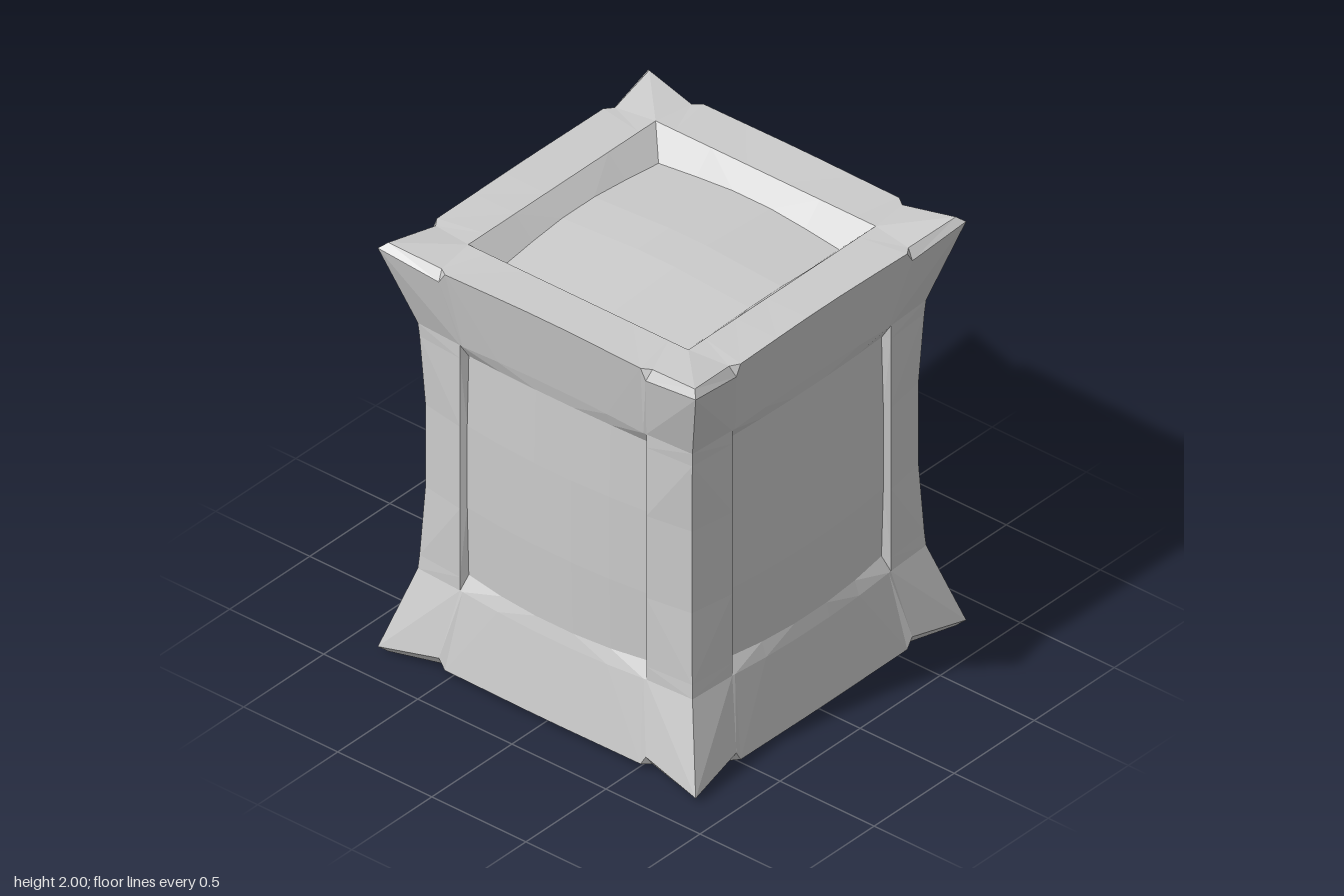
import * as THREE from 'three';

// Level tables run from the outer edge (index 0) to the middle; each is mirrored about the centre.
const RIM_X = [0.845, 0.55, 0.52, 0.29, 0.1];       // side columns along the upper rim
const RIM_H = [0.975, 0.92, 0.968, 0.972, 0.975];   // rim height above the centre
const RIM_D = [0.845, 0.81, 0.808, 0.806, 0.805];   // rim distance from the axis
const COLUMN = [0, 0.495, 0.48, 0.29, 0.1];         // post edge, panel edge, panel columns
const CORNER = [0.845, 0.73, 0.725, 0.708];         // flare of the corner edge per row
const ROW = [0.975, 0.6, 0.535, 0.2];               // rim, rail edge, panel edge, panel row
const BOW = [0, 0, 0, 0.012, 0.018];                // outward bow of the rails
const FRAME = [0, 0.742, 0.744, 0.748, 0.75];       // frame depth

const LID_RIM_X = [0.815, 0.56, 0.52, 0.29, 0.1];
const LID_RIM_D = [0.815, 0.78, 0.808, 0.806, 0.805];
const LID_RIM_H = [1.0, 0.965, 0.968, 0.972, 0.975];
const LID_COLUMN = [0, 0.585, 0.48, 0.29, 0.1];

// Mirrored grid index: level from the nearer edge, and sign of the half
const fold = (i, n) => (i < n / 2 ? [i, -1] : [n - 1 - i, 1]);

// Flared side wall with a raised frame and a cushioned recessed panel, facing +z
function sidePoint(i, j) {
  const [a, sx] = fold(i, 10);
  const [b, sy] = fold(j, 8);
  if (b === 0) return new THREE.Vector3(sx * RIM_X[a], sy * RIM_H[a], RIM_D[a]);
  const x = a === 0 ? CORNER[b] : COLUMN[a];
  const h = ROW[b] + (b < 3 ? BOW[a] : 0);
  let depth = a === 0 ? CORNER[b] : FRAME[a];
  if (a >= 2 && b >= 2) depth = [0.705, 0.725, 0.735][a - 2] + (b - 2) * 0.01;
  return new THREE.Vector3(sx * x, sy * h, depth);
}

// Square end with a deep recessed, cushioned panel, facing +z
function lidPoint(i, j) {
  const [a, sx] = fold(i, 10);
  const [b, sy] = fold(j, 10);
  const coord = (p, q) => {
    if (p === 0) return LID_RIM_D[q];
    if (q === 0) return LID_RIM_X[p];
    return LID_COLUMN[p] + (p === 2 ? BOW[q] : 0);
  };
  let height = 0.972;
  if (a === 0 || b === 0) height = LID_RIM_H[Math.max(a, b)];
  else if (a >= 2 && b >= 2) height = 0.865 + 0.012 * (a + b - 4);
  return new THREE.Vector3(sx * coord(a, b), sy * coord(b, a), height);
}

// Worn chamfers between the side rim and the lid rim; closes to nothing between the corners
function chamferPoint(i, j) {
  if (j === 0) return sidePoint(i, 7);
  const p = lidPoint(i, 9);
  return new THREE.Vector3(p.x, p.z, p.y);
}

// Grid surface; diagonals point at the centre so recess corners are mitred
function gridSurface(point, cols, rows) {
  const positions = [];
  const triangle = (p, q, r) => {
    const area = q.clone().sub(p).cross(r.clone().sub(p)).length();
    if (area > 1e-7) for (const v of [p, q, r]) positions.push(v.x, v.y, v.z);
  };
  for (let j = 0; j < rows - 1; j++) {
    for (let i = 0; i < cols - 1; i++) {
      const a = point(i, j), b = point(i + 1, j);
      const c = point(i + 1, j + 1), d = point(i, j + 1);
      if ((i < cols / 2 - 1) === (j < rows / 2 - 1)) {
        triangle(a, b, c);
        triangle(a, c, d);
      } else {
        triangle(a, b, d);
        triangle(b, c, d);
      }
    }
  }
  const geometry = new THREE.BufferGeometry();
  geometry.setAttribute('position', new THREE.Float32BufferAttribute(positions, 3));
  geometry.computeVertexNormals();
  return geometry;
}

export function createModel() {
  const model = new THREE.Group();
  model.name = 'crate';
  const material = new THREE.MeshStandardMaterial({ color: 0xcccccc, flatShading: true });
  const add = (name, geometry, parent) => {
    const mesh = new THREE.Mesh(geometry, material);
    mesh.name = name;
    parent.add(mesh);
    return mesh;
  };

  const body = new THREE.Group();
  body.name = 'body';
  body.position.y = 1;
  model.add(body);

  // Four identical walls, each with chamfers at its upper and lower corners
  const wall = gridSurface(sidePoint, 10, 8);
  const chamfer = gridSurface(chamferPoint, 10, 2);
  ['front', 'left', 'back', 'right'].forEach((side, k) => {
    const group = new THREE.Group();
    group.name = side + 'Side';
    group.rotation.y = (k * Math.PI) / 2;
    body.add(group);
    add(side + 'Wall', wall, group);
    add(side + 'UpperChamfer', chamfer, group);
    add(side + 'LowerChamfer', chamfer, group).rotation.z = Math.PI;
  });

  // Top and bottom ends
  const lid = gridSurface(lidPoint, 10, 10);
  add('top', lid, body).rotation.x = -Math.PI / 2;
  add('bottom', lid, body).rotation.x = Math.PI / 2;
  return model;
}
